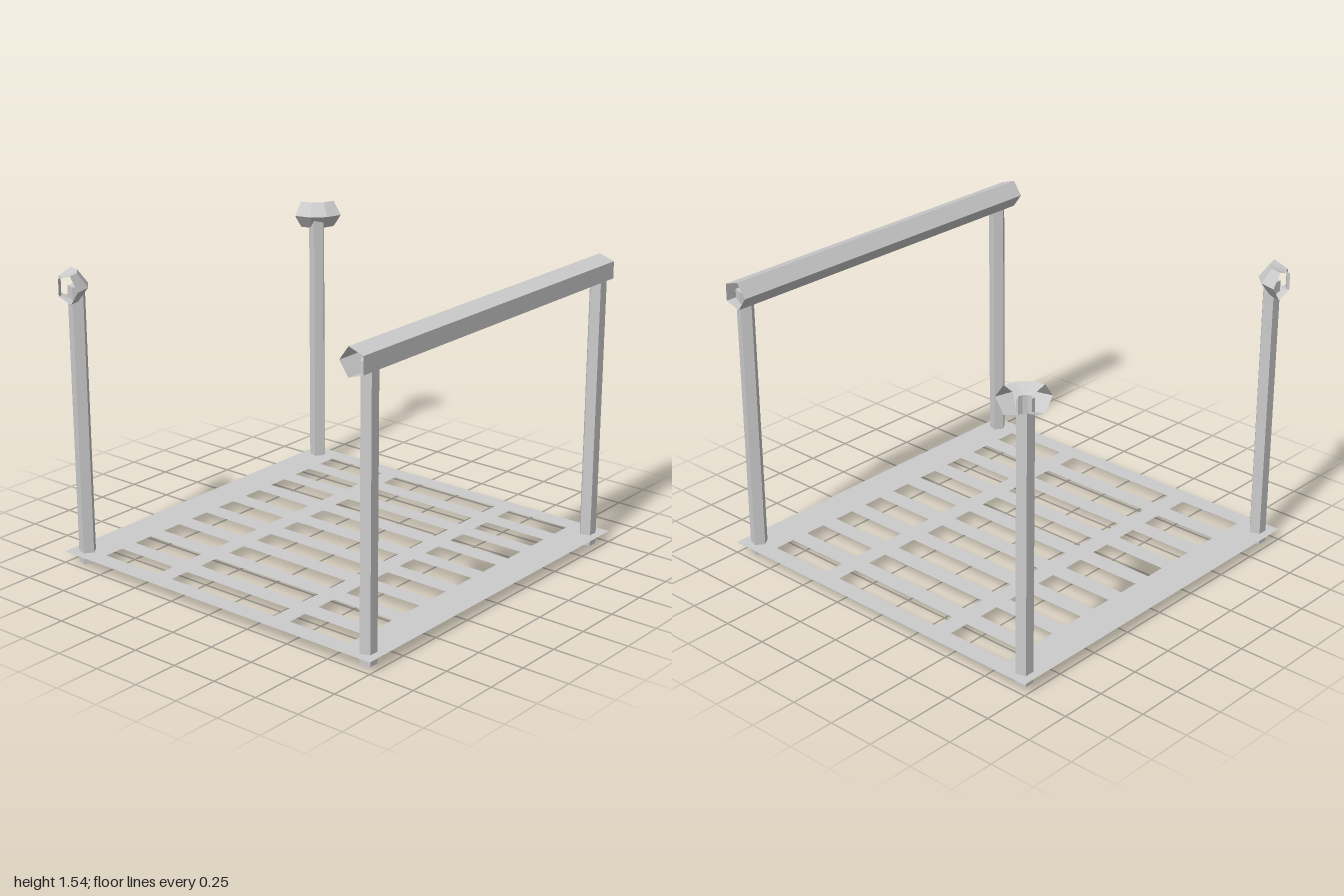
import * as THREE from 'three';

const DECK_Y = 0.06;      // height of the thin grate
const RAIL_Y = 1.47;      // centre height of the rails
const RAIL_R = 0.0757;    // radius of the five-sided rail
const RAIL_INSET = 0.104; // rail centre to deck edge

const solid = new THREE.MeshStandardMaterial({ color: 0xcccccc, flatShading: true });
const open = new THREE.MeshStandardMaterial({ color: 0xcccccc, flatShading: true, side: THREE.DoubleSide });

function add(group, name, geometry, material, x, y, z) {
  const mesh = new THREE.Mesh(geometry, material);
  mesh.name = name;
  mesh.position.set(x, y, z);
  group.add(mesh);
  return mesh;
}

function rectangle(PathType, x0, y0, x1, y1) {
  return new PathType([[x0, y0], [x1, y0], [x1, y1], [x0, y1]].map(([x, y]) => new THREE.Vector2(x, y)));
}

export function createModel() {
  const model = new THREE.Group();
  model.name = 'grateWithRailings';

  // Flat grate: nine columns by three rows of slots
  const deck = rectangle(THREE.Shape, -1, -1, 1, 1);
  const rows = [[-0.8, -0.435], [-0.337, 0.34], [0.438, 0.8]];
  for (let i = 0; i < 9; i++) {
    const x = (i - 4) * 0.2115;
    for (const [a, b] of rows) deck.holes.push(rectangle(THREE.Path, x - 0.056, a, x + 0.056, b));
  }
  add(model, 'grate', new THREE.ShapeGeometry(deck).rotateX(-Math.PI / 2), open, 0, DECK_Y, 0);

  // Five-sided posts, each with an edge pointing inward
  for (const sx of [-1, 1]) {
    for (const sz of [-1, 1]) {
      const post = new THREE.CylinderGeometry(0.045, 0.045, RAIL_Y, 5);
      if (sz > 0) post.rotateY(Math.PI);
      add(model, sz > 0 ? 'frontPost' : 'backPost', post, solid, sx * 0.915, RAIL_Y / 2, sz * 0.92);
    }
  }

  // Front rail: open five-sided tube, flat side outward
  const rail = new THREE.CylinderGeometry(RAIL_R, RAIL_R, 2, 5, 1, true);
  rail.rotateY(Math.PI).rotateZ(Math.PI / 2);
  add(model, 'frontRail', rail, open, 0, RAIL_Y, 1 - RAIL_INSET);

  // Back corner rails: the same section swept a quarter turn around each corner
  const section = [];
  for (let i = 0; i <= 5; i++) {
    const a = (i / 5) * Math.PI * 2;
    section.push(new THREE.Vector2(RAIL_INSET + RAIL_R * Math.cos(a), RAIL_R * Math.sin(a)));
  }
  for (const sx of [-1, 1]) {
    const start = sx < 0 ? 0 : -Math.PI / 2;
    add(model, 'cornerRail', new THREE.LatheGeometry(section, 3, start, Math.PI / 2), open, sx, RAIL_Y, -1);
  }

  return model;
}
